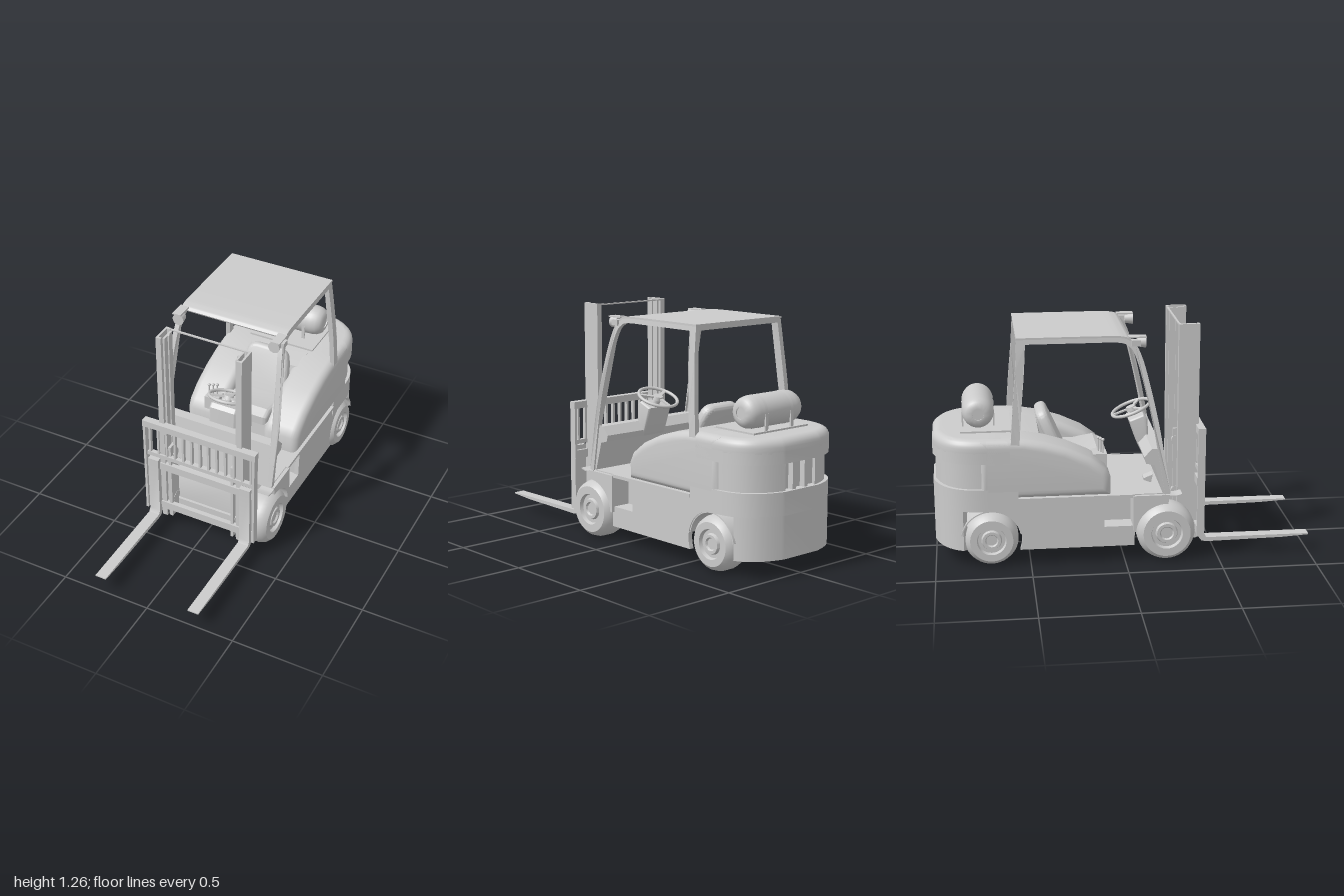
import * as THREE from 'three';
import { toCreasedNormals } from 'three/addons/utils/BufferGeometryUtils.js';

const V = (x, y) => new THREE.Vector2(x, y);
const V3 = (x, y, z) => new THREE.Vector3(x, y, z);

export function createModel() {
  const root = new THREE.Group();
  const mat = new THREE.MeshStandardMaterial({ color: 0xcccccc, side: THREE.DoubleSide });
  const add = (name, geo, x = 0, y = 0, z = 0) => {
    const m = new THREE.Mesh(geo, mat);
    m.name = name;
    m.position.set(x, y, z);
    root.add(m);
    return m;
  };
  // box given by its min and max on each axis
  const box = (name, x0, x1, y0, y1, z0, z1) =>
    add(name, new THREE.BoxGeometry(x1 - x0, y1 - y0, z1 - z0), (x0 + x1) / 2, (y0 + y1) / 2, (z0 + z1) / 2);
  const extrude = (shape, length, b) => toCreasedNormals(new THREE.ExtrudeGeometry(shape, {
    depth: length - 2 * b, bevelEnabled: b > 0, bevelSize: b, bevelThickness: b, bevelOffset: -b, bevelSegments: 6, curveSegments: 20,
  }).translate(0, 0, b), 0.6);
  // side profile in (z, y) extruded from x0 to x1
  const sideGeo = (pts, x0, x1, b = 0) =>
    extrude(new THREE.Shape(pts.map(p => V(p[0], p[1]))), x1 - x0, b).rotateY(-Math.PI / 2).translate(x1, 0, 0);
  const side = (name, pts, x0, x1, b) => add(name, sideGeo(pts, x0, x1, b));
  const pair = (name, pts, x0, x1, b) => {
    side(name + 'Left', pts, x0, x1, b);
    side(name + 'Right', pts, -x1, -x0, b);
  };
  const arc = (cz, cy, r, a0, a1, n = 20) => Array.from({ length: n + 1 }, (_, i) => {
    const a = (a0 + (a1 - a0) * i / n) * Math.PI / 180;
    return [cz + r * Math.cos(a), cy + r * Math.sin(a)];
  });
  // band of constant thickness along a smooth (z, y) path
  const band = (pts, t, n = 24) => {
    const c = new THREE.SplineCurve(pts.map(p => V(p[0], p[1])));
    const a = [], b = [];
    for (let i = 0; i <= n; i++) {
      const p = c.getPoint(i / n), d = c.getTangent(i / n);
      a.push([p.x - d.y * t / 2, p.y + d.x * t / 2]);
      b.unshift([p.x + d.y * t / 2, p.y - d.x * t / 2]);
    }
    return a.concat(b);
  };
  const rod = (name, a, b, r) => add(name, new THREE.TubeGeometry(new THREE.LineCurve3(a, b), 1, r, 10));

  // wheels with recessed hubs
  const wheel = (name, s, x, y, z, r, w) => {
    const prof = [[0, -w], [r - .02, -w], [r - .006, -w + .01], [r, -w + .03], [r, w - .05], [r - .01, w - .02], [r - .03, w],
      [r * .54, w], [r * .5, w - .02], [r * .38, w - .02], [r * .34, w - .005], [r * .24, w - .005], [r * .2, w - .015], [0, w - .015]];
    const g = new THREE.LatheGeometry(prof.map(p => V(p[0], p[1])), 40).rotateZ(-s * Math.PI / 2);
    add(name, toCreasedNormals(g, 0.6), s * x, y, z);
  };
  for (const s of [1, -1]) {
    const n = s > 0 ? 'Left' : 'Right';
    wheel('frontWheel' + n, s, .296, .156, .22, .156, .07);
    wheel('rearWheel' + n, s, .28, .146, -.705, .143, .066);
  }

  // hollow chassis: side panels with step recess and rear wheel arch
  pair('sidePanel', [[.05, .09], [.05, .2], [-.11, .2], [-.12, .37], [-.705, .37],
    ...arc(-.705, .15, .16, 90, -20), [-.555, .09]], .315, .34);
  pair('stepWall', [[.05, .09], [.05, .37], [-.13, .37], [-.13, .09]], .22, .24);
  pair('stepEnd', [[-.115, .09], [-.115, .37], [-.135, .37], [-.135, .09]], .22, .32);
  pair('stepTread', [[.05, .19], [.05, .2], [-.12, .2], [-.12, .19]], .23, .335);
  side('frontPlate', [[.26, .09], [.26, .31], [.215, .38], [.2, .38], [.245, .305], [.245, .09]], -.215, .215);
  pair('frontInnerWall', [[.25, .2], [.25, .3], [.21, .37], [.04, .37], [.04, .2]], .2, .215);
  box('floorPlate', -.335, .335, .36, .375, -.57, .22);
  pair('sillStrip', [[.05, .36], [.05, .377], [-.56, .377], [-.56, .36]], .33, .349);
  pair('rearWheelWell', arc(-.705, .15, .16, 10, 170).concat(arc(-.705, .15, .154, 170, 10)), .19, .335);
  pair('frontFender', [[.235, .37], [.04, .37], [.04, .17], ...arc(.22, .156, .165, 175, 88)], .24, .355);
  pair('fenderLip', band([[.3, .37], [.26, .362], [.2, .368]], .006), .28, .355);

  // rounded counterweight built in tiers from one plan outline; the base is an open shell
  const tier = (name, front, y0, y1, inset, b, { recess = false, shell = false } = {}) => {
    const edge = new THREE.CubicBezierCurve(V(.345, .72), V(.345, .9), V(.26, .965), V(.12, 1))
      .getPoints(24).filter(p => p.y >= front);
    const half = edge.map(p => V(p.x - inset, p.y - inset));
    if (front < .72) half.unshift(V(.345 - inset, front));
    if (recess) half.push(V(.12, .955));
    const mirror = h => h.concat(h.map(p => V(-p.x, p.y)).reverse());
    const all = mirror(half);
    if (shell) all.push(...mirror(half.map(p => V(p.x - .02, p.y - .02))).reverse());
    add(name, extrude(new THREE.Shape(all), y1 - y0, b).rotateX(-Math.PI / 2).translate(0, y0, 0));
  };
  tier('counterweightBase', .85, .09, .315, 0, 0, { shell: true });
  tier('counterweightMiddle', .56, .31, .43, 0, 0);
  tier('counterweightVentTier', .56, .43, .575, .014, 0, { recess: true });
  tier('counterweightCap', .6, .57, .63, 0, 0);
  tier('counterweightTop', .6, .578, .697, 0, .045);
  for (const x of [-.042, .042])
    box('rearVentRib', x - .012, x + .012, .43, .575, -.986, -.95);

  // hood flanks beside the seat, and the deck between them
  pair('hoodFlank', [[-.075, .372], [-.075, .47], [-.1, .52], [-.18, .58], [-.3, .635], [-.42, .672], [-.52, .69], [-.6, .697], [-.76, .697], [-.76, .372]],
    .125, .345, .045);
  side('seatDeck', [[-.09, .37], [-.1, .49], [-.4, .5], [-.44, .675], [-.56, .695], [-.66, .695], [-.66, .37]], -.17, .17);

  // seat
  side('seatCushion', [[-.08, .5], [-.08, .55], [-.13, .575], [-.25, .555], [-.38, .56], [-.38, .49]], -.15, .15, .025);
  const backShape = new THREE.Shape();
  backShape.moveTo(-.145, -.14);
  backShape.lineTo(.145, -.14);
  backShape.quadraticCurveTo(.15, .02, .12, .1);
  backShape.quadraticCurveTo(.105, .132, .065, .135);
  backShape.lineTo(-.065, .135);
  backShape.quadraticCurveTo(-.105, .132, -.12, .1);
  backShape.quadraticCurveTo(-.15, .02, -.145, -.14);
  const back = add('seatBack', extrude(backShape, .065, .025).translate(0, 0, -.033), 0, .655, -.375);
  back.rotation.x = -.42;

  // cowl with dash, steering column and wheel
  side('cowl', [[.24, .37], [.195, .62], [.14, .62], [.1, .575], [.11, .54], [.155, .53], [.2, .37]], -.332, .332);
  side('steeringColumn', [[.16, .55], [.15, .71], [.13, .73], [.05, .7], [.095, .57], [.11, .54]], -.08, .08, .012);
  const steering = new THREE.Group();
  steering.name = 'steeringWheel';
  const part = (name, g) => {
    const m = new THREE.Mesh(g, mat);
    m.name = name;
    steering.add(m);
  };
  part('wheelRim', new THREE.TorusGeometry(.108, .009, 10, 40).rotateX(Math.PI / 2));
  part('wheelHub', new THREE.CylinderGeometry(.025, .03, .02, 20));
  for (let i = 0; i < 3; i++)
    part('wheelSpoke', new THREE.BoxGeometry(.1, .008, .018).translate(.06, 0, 0).rotateY(Math.PI / 2 + i * Math.PI * 2 / 3));
  steering.position.set(0, .75, .07);
  steering.rotation.x = -.36;
  root.add(steering);
  rod('steeringShaft', V3(0, .68, .1), V3(0, .75, .07), .018);
  side('pedal', [[.16, .375], [.12, .39], [.12, .4], [.17, .42]], -.16, -.1);

  // control levers
  box('leverBox', -.235, -.155, .47, .57, -.16, -.085);
  for (const [i, x] of [-.215, -.195, -.175].entries()) {
    const z = -.105 - i * .01;
    rod('lever', V3(x, .55, z), V3(x, .64, z), .004);
    add('leverKnob', new THREE.SphereGeometry(.009, 12, 8), x, .643, z);
  }

  // overhead guard: posts lean inward with height
  const lean = g => {
    const p = g.attributes.position;
    for (let i = 0; i < p.count; i++) {
      const k = Math.max(0, (p.getY(i) - .6) / .6);
      p.setX(i, p.getX(i) - Math.sign(p.getX(i)) * .04 * k * k);
    }
    g.computeVertexNormals();
    return g;
  };
  const frontPost = band([[.225, .37], [.165, .73], [.105, 1.0], [.065, 1.13], [.03, 1.178], [-.03, 1.201], [-.2, 1.203], [-.54, 1.203]], .03, 48);
  const rearPost = band([[-.53, 1.212], [-.54, 1.05], [-.558, .85], [-.575, .62]], .045);
  for (const [name, pts] of [['guardFrontPost', frontPost], ['guardRearPost', rearPost]]) {
    add(name + 'Left', lean(sideGeo(pts, .316, .342)));
    add(name + 'Right', lean(sideGeo(pts, -.342, -.316)));
  }
  side('roof', band([[.03, 1.196], [0, 1.211], [-.1, 1.217], [-.555, 1.217]], .01), -.303, .303);
  box('roofRearBeam', -.29, .29, 1.19, 1.214, -.553, -.525);

  // work lights
  for (const s of [1, -1]) {
    add('workLight', new THREE.CylinderGeometry(.032, .024, .045, 24).rotateX(Math.PI / 2), s * .277, 1.183, .088);
    box('lightBracket', s * .3 - .018, s * .3 + .018, 1.168, 1.198, .035, .08);
    box('lightHood', s * .285 - .025, s * .285 + .025, 1.209, 1.216, .02, .112);
  }

  // gas tank with cradle
  const tankProfile = [[0, -.184], [.03, -.184], [.03, -.19], [.045, -.19], [.066, -.178], [.079, -.155], [.084, -.125]];
  const tankPts = tankProfile.map(p => V(p[0], p[1]));
  tankPts.push(...tankProfile.map(p => V(p[0], -p[1])).reverse());
  add('gasTank', toCreasedNormals(new THREE.LatheGeometry(tankPts, 36).rotateZ(-Math.PI / 2), .7), 0, .793, -.755);
  box('tankPlate', -.2, .19, .692, .706, -.85, -.585);
  for (const x of [-.09, .09]) {
    add('tankStrap', new THREE.CylinderGeometry(.0855, .0855, .018, 36, 1, true).rotateZ(Math.PI / 2), x, .793, -.755);
    for (const z of [-.837, -.673]) box('strapLeg', x - .009, x + .009, .7, .79, z - .004, z + .004);
  }

  // mast: outer C-channels, inner rails, cross members
  for (const s of [1, -1]) {
    const bx = (name, a, b, ...r) => box(name, Math.min(s * a, s * b), Math.max(s * a, s * b), ...r);
    bx('mastWeb', .232, .243, .08, 1.26, .29, .4);
    bx('mastRearFlange', .213, .24, .08, 1.26, .29, .303);
    bx('mastFrontFlange', .213, .24, .08, 1.26, .387, .4);
    bx('innerRail', .2, .21, .08, 1.255, .305, .385);
    bx('innerRailFlange', .193, .208, .08, 1.255, .34, .352);
    bx('carriageRail', .178, .193, .09, .57, .33, .4);
    for (const y of [.2, .5])
      add('mastRoller', new THREE.CylinderGeometry(.03, .03, .02, 20).rotateZ(Math.PI / 2), s * .186, y, .35);

    // forks and backrest side plates
    side('fork', [[1, .102], [1, .095], [.85, .086], [.44, .08], [.415, .085], [.4, .105], [.4, .475], [.428, .475], [.428, .125], [.44, .103]],
      s * .274 - .031, s * .274 + .031);
    bx('backrestSide', .316, .33, .12, .72, .385, .425);
  }
  box('mastTopBar', -.235, .235, 1.25, 1.257, .29, .3);
  box('mastLowerBar', -.235, .235, .09, .14, .29, .305);

  // carriage and load backrest
  box('carriageUpperBar', -.33, .33, .405, .45, .382, .408);
  box('carriageLowerBar', -.33, .33, .135, .18, .382, .408);
  box('backrestTopRail', -.332, .332, .682, .72, .385, .425);
  box('backrestLowerRail', -.33, .33, .485, .508, .385, .41);
  for (let i = 0; i <= 12; i++) {
    const x = -.3 + i * .05;
    box('backrestBar', x - .006, x + .006, .5, .69, .388, .408);
  }
  return root;
}
